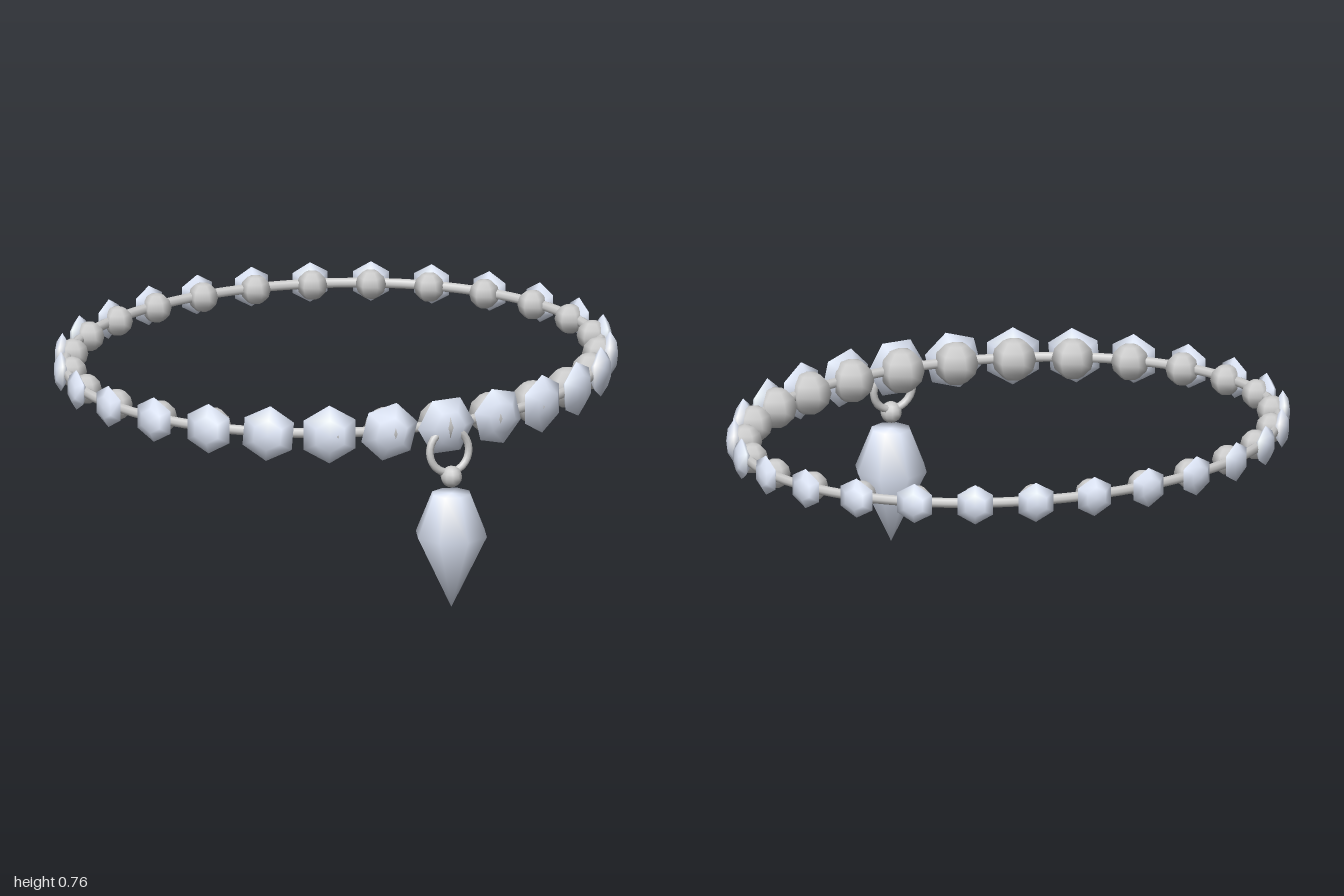
import * as THREE from 'three';
import { mergeVertices } from 'three/addons/utils/BufferGeometryUtils.js';

const A = 0.965, B = 0.83, CZ = -0.075; // bracelet ellipse
const COUNT = 27;

// Oval cord, slightly lower at the front
class CordCurve extends THREE.Curve {
  getPoint(u, target = new THREE.Vector3()) {
    const t = u * Math.PI * 2;
    return target.set(A * Math.sin(t), 0.67 - 0.022 * Math.cos(t), CZ + B * Math.cos(t));
  }
}

// Turned solid with normals smoothed over every edge
function smoothLathe(points, sides) {
  const geometry = new THREE.LatheGeometry(points.map(([x, y]) => new THREE.Vector2(x, y)), sides);
  geometry.deleteAttribute('uv');
  geometry.deleteAttribute('normal');
  const merged = mergeVertices(geometry);
  merged.computeVertexNormals();
  return merged;
}

export function createModel() {
  const root = new THREE.Group();
  root.name = 'charmBracelet';
  const metal = new THREE.MeshStandardMaterial({ color: 0xcccccc });
  const crystal = new THREE.MeshStandardMaterial({ color: 0xe6eeff });

  const add = (parent, name, geometry, mat, x = 0, y = 0, z = 0) => {
    const mesh = new THREE.Mesh(geometry, mat);
    mesh.name = name;
    mesh.position.set(x, y, z);
    parent.add(mesh);
    return mesh;
  };

  // Cord
  const curve = new CordCurve();
  add(root, 'cord', new THREE.TubeGeometry(curve, 108, 0.018, 8, true), metal);

  // Unit six-sided lens, facing outward along +z
  const lens = smoothLathe([[0, -0.35], [0.55, -0.28], [1, 0], [0.55, 0.28], [0, 0.35]], 6);
  lens.rotateX(Math.PI / 2);
  // Unit six-sided bead with corners toward front and back
  const bead = new THREE.SphereGeometry(1, 6, 6);
  bead.rotateY(Math.PI / 6);

  // Evenly spaced gem and bead pairs, growing toward the front
  const gemSizes = [0.11, 0.106, 0.105, 0.1, 0.09, 0.081, 0.075];
  const twists = [Math.PI / 6, 0.25, 0, 0.08];
  for (let i = 0; i < COUNT; i++) {
    const k = Math.min(i, COUNT - i);
    const side = i <= COUNT / 2 ? 1 : -1;
    const u = curve.getUtoTmapping(i / COUNT);
    const t = u * Math.PI * 2;
    const r = gemSizes[k] ?? 0.072;
    const out = new THREE.Vector3(Math.sin(t) / A, 0, Math.cos(t) / B).normalize();

    const pair = new THREE.Group();
    pair.name = 'gemSetting';
    pair.position.copy(curve.getPoint(u));
    root.add(pair);

    const gem = add(pair, 'gem', lens, crystal, out.x * 0.02, 0, out.z * 0.02);
    gem.rotation.set(0, Math.atan2(out.x, out.z), side * (twists[k] ?? 0));
    gem.scale.setScalar(r);

    const inner = add(pair, 'innerBead', bead, metal, -out.x * 0.018, 0, -out.z * 0.018);
    inner.scale.setScalar(r * 0.74);
  }

  // Pendant hanging at the front
  const pendant = new THREE.Group();
  pendant.name = 'pendant';
  pendant.position.z = 0.815;
  root.add(pendant);

  const hoop = add(pendant, 'hoop', new THREE.TorusGeometry(0.076, 0.014, 8, 28), metal, 0, 0.562, -0.016);
  hoop.rotation.x = -0.1;
  add(pendant, 'hoopBead', new THREE.SphereGeometry(0.038, 10, 8), metal, 0, 0.473, 0);
  add(pendant, 'drop', smoothLathe([[0, 0], [0.13, 0.265], [0.07, 0.413], [0, 0.413]], 8), crystal);

  return root;
}
